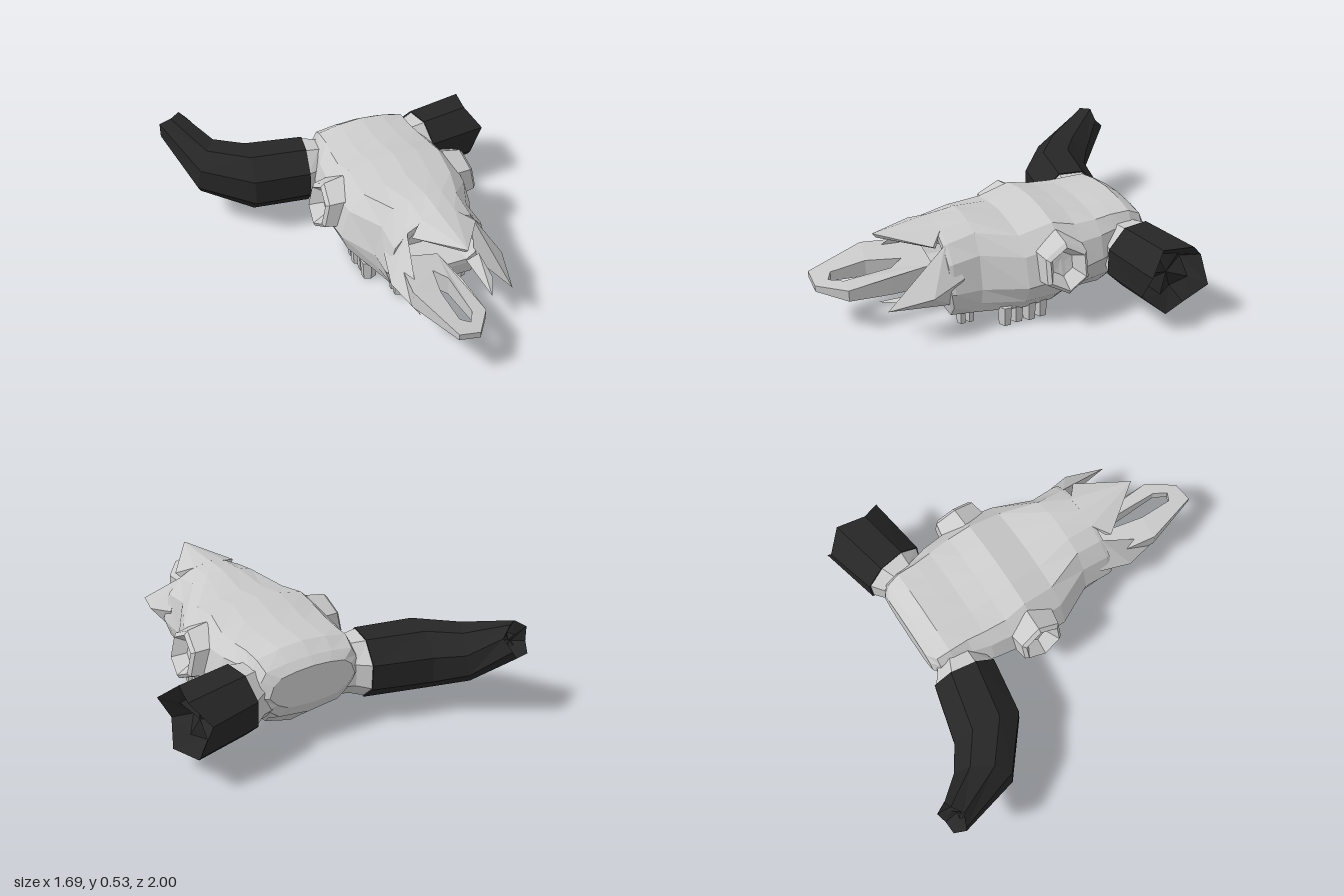
import * as THREE from 'three';
import { ConvexGeometry } from 'three/addons/geometries/ConvexGeometry.js';

const V = (x, y, z) => new THREE.Vector3(x, y, z);
const bone = new THREE.MeshStandardMaterial({ color: 0xcccccc, flatShading: true, side: THREE.DoubleSide });
const dark = new THREE.MeshStandardMaterial({ color: 0x262626, flatShading: true, side: THREE.DoubleSide });

function mesh(name, geometry, material = bone) {
  const m = new THREE.Mesh(geometry, material);
  m.name = name;
  return m;
}

// Skins closed rings of equal length and closes both ends with fans
function loft(rings) {
  const n = rings[0].length, pos = [];
  const tri = (...p) => p.forEach((v) => pos.push(v.x, v.y, v.z));
  for (let i = 0; i < rings.length - 1; i++) {
    for (let j = 0; j < n; j++) {
      const k = (j + 1) % n, [a, b] = [rings[i], rings[i + 1]];
      tri(a[j], b[j], a[k]);
      tri(b[j], b[k], a[k]);
    }
  }
  const centre = (r) => r.reduce((s, v) => s.add(v), V(0, 0, 0)).divideScalar(n);
  const first = rings[0], last = rings[rings.length - 1];
  const c0 = centre(first), c1 = centre(last);
  for (let j = 0; j < n; j++) {
    const k = (j + 1) % n;
    tri(c0, first[j], first[k]);
    tri(c1, last[k], last[j]);
  }
  const g = new THREE.BufferGeometry();
  g.setAttribute('position', new THREE.Float32BufferAttribute(pos, 3));
  g.computeVertexNormals();
  return g;
}

const hull = (points) => new ConvexGeometry(points.map((p) => V(...p)));

// Skull section: [z, top, shoulder x, y, side x, y, base x, y, underside y]
function skullRing([z, top, sx, sy, wx, wy, bx, by, under]) {
  const half = [
    [sx * 0.52, top - 0.3 * (top - sy)], [sx, sy],
    [sx + (wx - sx) * 0.65, sy + (wy - sy) * 0.35], [wx, wy],
    [wx * 0.6 + bx * 0.4, wy * 0.42 + by * 0.58], [bx, by],
  ];
  return [[0, top], ...half, [0, under], ...half.map(([x, y]) => [-x, y]).reverse()]
    .map(([x, y]) => V(x, y, z));
}

// Octagonal horn section, turned by yaw and pitch; jag makes a ragged edge
function hornRing({ c, yaw, pitch = 0, rs, ru, jag = 0, inset = 0 }) {
  const [a, p] = [yaw, pitch].map(THREE.MathUtils.degToRad);
  const side = V(Math.sin(a), 0, Math.cos(a));
  const up = V(-Math.sin(p) * Math.cos(a), Math.cos(p), Math.sin(p) * Math.sin(a));
  const dir = V(Math.cos(p) * Math.cos(a), Math.sin(p), -Math.cos(p) * Math.sin(a));
  return Array.from({ length: 8 }, (_, j) => {
    const t = (j + 0.5) * Math.PI / 4;
    return V(...c)
      .addScaledVector(side, rs * Math.cos(t) * 1.08)
      .addScaledVector(up, ru * Math.sin(t) * 1.08)
      .addScaledVector(dir, jag * [1, -0.6, 0.7, -1][j % 4] - inset);
  });
}

// Parts shared by both halves, built on the +x side
function skullSide() {
  const side = new THREE.Group();

  // Eye socket: six-sided rim with a sunken floor, leaning outward at the bottom
  const profile = [[0.145, 0.31], [0.125, 0.41], [0.105, 0.425], [0.06, 0.36], [0, 0.355]]
    .map(([r, h]) => new THREE.Vector2(r, h));
  const socket = new THREE.LatheGeometry(profile, 6, Math.PI / 6).rotateZ(-Math.PI / 2).translate(0, 0.335, -0.105);
  const p = socket.attributes.position;
  for (let i = 0; i < p.count; i++) p.setX(i, p.getX(i) + (0.335 - p.getY(i)) * 0.22);
  side.add(mesh('eyeSocket', socket));

  // Bony collar under the horn
  side.add(mesh('hornCollar', loft([
    hornRing({ c: [0.2, 0.3, -0.49], yaw: 9, rs: 0.12, ru: 0.14 }),
    hornRing({ c: [0.27, 0.29, -0.5], yaw: 9, rs: 0.12, ru: 0.14 }),
    hornRing({ c: [0.34, 0.285, -0.515], yaw: 9, rs: 0.155, ru: 0.155 }),
  ])));

  // Pointed cheek bone beside the nose opening
  side.add(mesh('cheekBone', hull([
    [0.17, 0.46, 0.42], [0.26, 0.31, 0.36], [0.3, 0.26, 0.53],
    [0.245, 0.215, 0.74], [0.22, 0.16, 0.41], [0.22, 0.25, 0.42],
  ])));

  // Molars, then two smaller front teeth
  const teeth = new THREE.Group();
  teeth.name = 'teeth';
  [-0.05, 0.015, 0.08, 0.145, 0.3, 0.345].forEach((z, i) => {
    const front = i > 3, h = front ? 0.09 : 0.1;
    const tooth = mesh('tooth', new THREE.CylinderGeometry(1, 0.85, h, 6));
    tooth.scale.set(front ? 0.035 : 0.045, 1, front ? 0.026 : 0.038);
    tooth.position.set(front ? 0.17 : 0.24 + (i % 2) * 0.008, (front ? 0.022 : 0.008) + h / 2, z);
    teeth.add(tooth);
  });
  side.add(teeth);
  return side;
}

// Front jaw prong: flat loop with a slot, thicker toward the rear
function frontJaw() {
  const pts = (list) => list.map(([x, z]) => new THREE.Vector2(x, z));
  const shape = new THREE.Shape(pts([
    [-0.22, 0.42], [-0.265, 0.7], [-0.175, 0.995], [-0.065, 0.995], [0.035, 0.86], [0.025, 0.64], [0, 0.42],
  ]));
  shape.holes.push(new THREE.Path(pts([
    [-0.09, 0.55], [-0.04, 0.62], [-0.04, 0.86], [-0.08, 0.925], [-0.125, 0.9], [-0.13, 0.72],
  ])));
  const g = new THREE.ExtrudeGeometry(shape, { depth: 1, bevelEnabled: false }).rotateX(Math.PI / 2);
  const p = g.attributes.position;
  for (let i = 0; i < p.count; i++) {
    const back = 1 - p.getZ(i);
    const y = p.getY(i) > -0.5 ? 0.27 + Math.min(0.03, back * 0.1) : 0.24 - 0.1 * back;
    p.setY(i, y - 0.22 * (p.getX(i) + 0.14));
  }
  g.computeVertexNormals();
  return mesh('frontJaw', g);
}

export function createModel() {
  const skull = new THREE.Group();
  skull.name = 'skull';

  // Braincase and muzzle, back to front
  const rings = [
    [-0.635, 0.43, 0.17, 0.41, 0.23, 0.32, 0.13, 0.24, 0.23],
    [-0.6, 0.465, 0.23, 0.44, 0.27, 0.31, 0.16, 0.18, 0.16],
    [-0.53, 0.51, 0.24, 0.475, 0.29, 0.3, 0.18, 0.14, 0.1],
    [-0.43, 0.505, 0.24, 0.475, 0.31, 0.3, 0.14, 0.05, 0.01],
    [-0.34, 0.5, 0.25, 0.47, 0.345, 0.3, 0.15, 0.055, 0.02],
    [-0.22, 0.515, 0.26, 0.475, 0.36, 0.28, 0.17, 0.06, 0.045],
    [-0.1, 0.54, 0.25, 0.505, 0.38, 0.26, 0.26, 0.085, 0.08],
    [0.07, 0.5, 0.24, 0.465, 0.365, 0.24, 0.28, 0.09, 0.09],
    [0.27, 0.53, 0.17, 0.49, 0.265, 0.23, 0.23, 0.09, 0.09],
    [0.41, 0.52, 0.17, 0.46, 0.275, 0.24, 0.2, 0.09, 0.09],
    [0.43, 0.515, 0.165, 0.455, 0.27, 0.24, 0.19, 0.165, 0.165],
  ].map(skullRing);
  // The last ring folds inward to hollow the nose
  const inward = (z, s) => rings[10].map((v) => V(v.x * s, 0.33 + (v.y - 0.33) * s, z));
  rings.push(inward(0.43, 0.85), inward(0.24, 0.7));
  skull.add(mesh('cranium', loft(rings)));

  // Nose bone ending in a point above the opening
  skull.add(mesh('noseBone', hull([
    [0, 0.505, 0.72], [0, 0.48, 0.7], [0, 0.52, 0.41], [0, 0.475, 0.42],
    ...[1, -1].flatMap((s) => [[s * 0.17, 0.46, 0.48], [s * 0.15, 0.44, 0.46], [s * 0.09, 0.502, 0.41]]),
  ])));

  const left = skullSide(), right = skullSide();
  left.name = 'leftSide';
  right.name = 'rightSide';
  right.scale.x = -1;
  skull.add(left, right);

  // Front jaw survives on the right; a splinter remains on the left
  skull.add(frontJaw());
  skull.add(mesh('brokenJaw', hull([
    [0.23, 0.18, 0.42], [0.16, 0.18, 0.43], [0.2, 0.25, 0.48], [0.13, 0.21, 0.75], [0.2, 0.21, 0.63],
  ])));

  // Horns: whole and curved on the right, snapped off on the left
  const base = { c: [0.335, 0.285, -0.515], yaw: 9, rs: 0.16, ru: 0.16 };
  const middle = { c: [0.63, 0.28, -0.575], yaw: 7, rs: 0.175, ru: 0.162 };
  const tip = { c: [0.93, 0.46, -0.95], yaw: 72, pitch: 25, rs: 0.078, ru: 0.085, jag: 0.015 };
  const horn = mesh('rightHorn', loft([
    base, middle,
    { c: [0.82, 0.31, -0.72], yaw: 33, pitch: 12, rs: 0.14, ru: 0.135 },
    tip, { ...tip, rs: 0.035, ru: 0.035, inset: 0.05 },
  ].map(hornRing)), dark);
  horn.scale.x = -1;
  const snap = { ...middle, jag: 0.035 };
  const stub = mesh('leftHornStub', loft([
    base, snap, { ...snap, rs: 0.11, ru: 0.1, inset: 0.08 },
  ].map(hornRing)), dark);
  skull.add(horn, stub);

  skull.position.x = 0.17;
  const model = new THREE.Group();
  model.name = 'hornedSkull';
  model.add(skull);
  return model;
}
